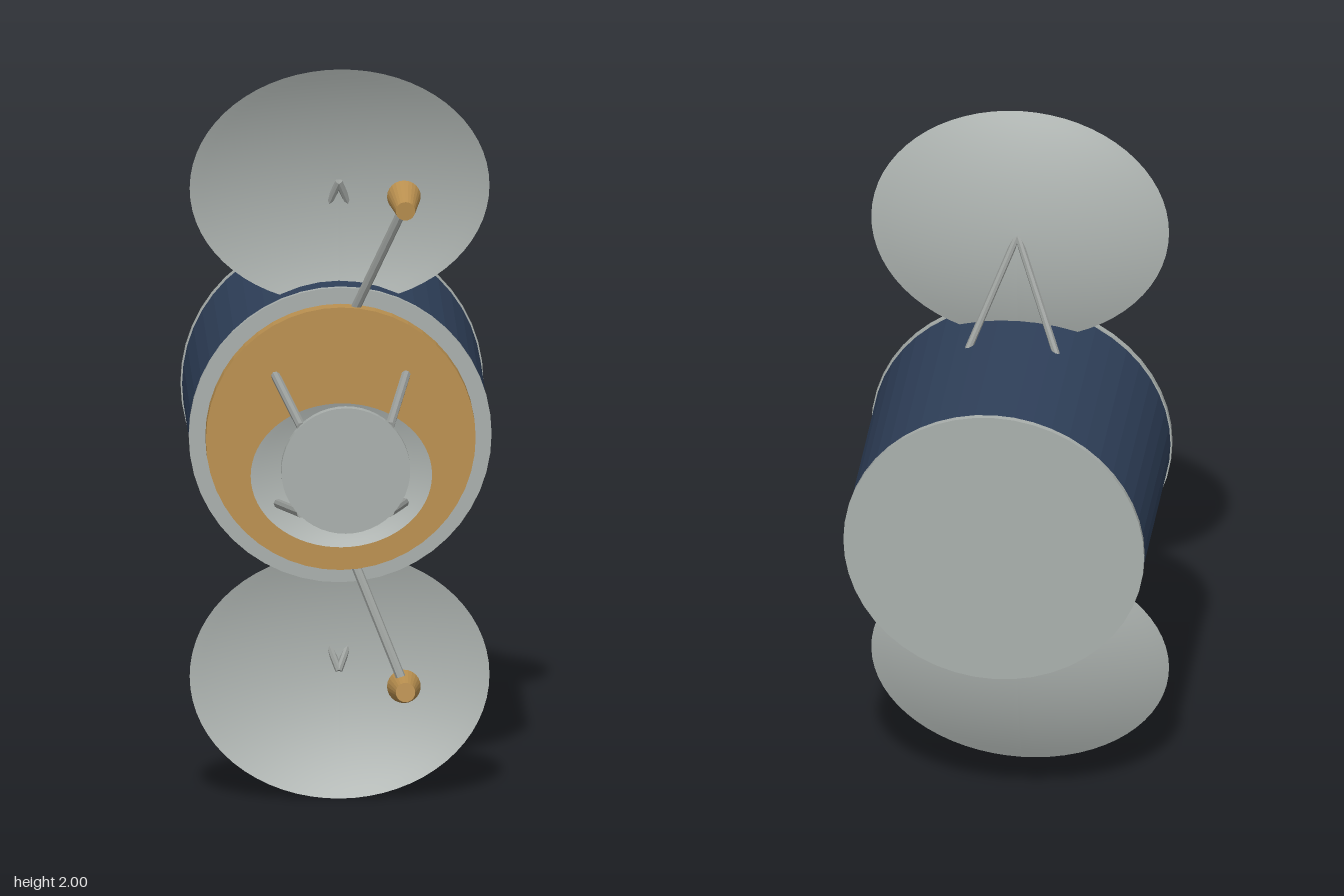
import * as THREE from 'three';

export function createModel() {
  const model = new THREE.Group();
  const mat = (name, color, extra = {}) =>
    Object.assign(new THREE.MeshStandardMaterial({ color, ...extra }), { name });
  const navy = mat('navy', 0x2f405a);
  const gold = mat('gold', 0xbb9150);
  const grey = mat('paleGrey', 0xaab0ad);
  const dishGrey = mat('dishGrey', 0xabb1ae, { side: THREE.DoubleSide });
  const strutGrey = mat('strutGrey', 0x9b9f9c);
  const v = (x, y, z) => new THREE.Vector3(x, y, z);

  function add(name, geometry, material, parent = model) {
    const mesh = new THREE.Mesh(geometry, material);
    mesh.name = name;
    parent.add(mesh);
    return mesh;
  }

  // faceted round bar or cone running from a to b
  function bar(name, a, b, ra, rb, sides, material, parent) {
    let g = new THREE.CylinderGeometry(rb, ra, a.distanceTo(b), sides).toNonIndexed();
    g.computeVertexNormals();
    const mesh = add(name, g, material, parent);
    mesh.position.copy(a).lerp(b, 0.5);
    mesh.quaternion.setFromUnitVectors(v(0, 1, 0), b.clone().sub(a).normalize());
    return mesh;
  }
  const drum = (name, r, z0, z1, material) =>
    bar(name, v(0, 1, z0), v(0, 1, z1), r, r, 48, material);

  // shallow elliptical bowl opening to +z, its rim sheared forward by slope
  function dish(name, cy, rx, ry, zBack, depth, slope, parent) {
    const profile = [];
    for (let i = 0; i <= 12; i++) profile.push(new THREE.Vector2(i / 12, (i / 12) ** 2));
    const g = new THREE.LatheGeometry(profile, 64);
    const p = g.attributes.position;
    for (let i = 0; i < p.count; i++) {
      const x = p.getX(i), h = p.getY(i), y = -p.getZ(i);
      p.setXYZ(i, x * rx, cy + y * ry, zBack + depth * h + slope * y);
    }
    g.computeVertexNormals();
    add(name, g, dishGrey, parent);
  }

  // body drum, end rims and front plate
  drum('body', 0.4, -0.5, 0.086, navy);
  drum('rearRim', 0.404, -0.515, -0.5, grey);
  drum('frontRim', 0.404, 0.086, 0.101, grey);
  drum('frontPlate', 0.36, 0.101, 0.144, gold);

  // upper and lower side antennas, mirrored by side s
  for (const s of [1, -1]) {
    const antenna = new THREE.Group();
    antenna.name = s > 0 ? 'upperAntenna' : 'lowerAntenna';
    model.add(antenna);
    const q = (x, y, z) => v(x, 1 + s * y, z);
    dish('dish', 1 + s * 0.67, 0.4, 0.33, -0.01, 0.065, s * 0.035, antenna);
    for (const x of [0.12, -0.12])
      bar('dishStrut', q(x, 0.37, -0.115), q(0, 0.67, 0), 0.01, 0.01, 8, strutGrey, antenna);
    bar('feedArm', q(0.035, 0.34, 0.115), q(0.167, 0.66, 0.235), 0.013, 0.013, 8, strutGrey, antenna);
    bar('feedHorn', q(0.167, 0.672, 0.18), q(0.167, 0.66, 0.3), 0.045, 0.026, 24, gold, antenna);
  }

  // small front antenna
  const front = new THREE.Group();
  front.name = 'frontAntenna';
  model.add(front);
  dish('dish', 0.91, 0.242, 0.195, 0.15, 0.037, -0.01, front);
  for (const x of [0.06, -0.06])
    bar('dishStrut', v(x, 0.82, 0.135), v(0, 0.91, 0.152), 0.007, 0.007, 8, strutGrey, front);
  bar('feedArm', v(0.035, 0.79, 0.135), v(0.1, 0.92, 0.29), 0.012, 0.012, 8, strutGrey, front);
  bar('feedHorn', v(0.1, 0.922, 0.265), v(0.1, 0.92, 0.34), 0.027, 0.017, 24, gold, front);

  // round plate held ahead of the body on four legs
  drum('outerPlate', 0.172, 0.486, 0.511, grey);
  for (const x of [1, -1]) for (const y of [1, -1])
    bar('plateLeg', v(0.175 * x, 1 + 0.175 * y, 0.135), v(0.118 * x, 1 + 0.118 * y, 0.495),
      0.0125, 0.0125, 8, strutGrey);

  return model;
}
